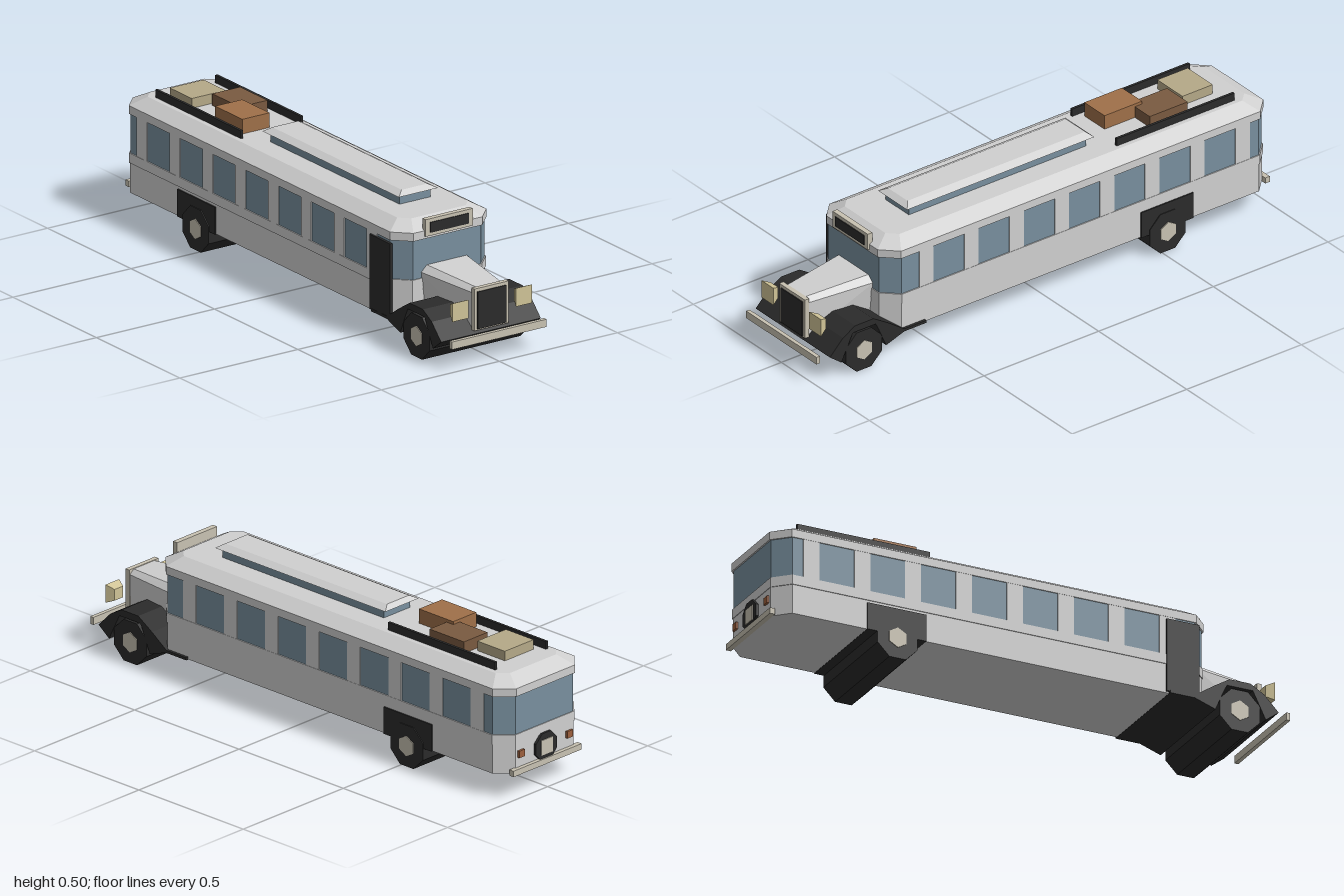
import * as THREE from 'three';
import { ConvexGeometry } from 'three/addons/geometries/ConvexGeometry.js';

const paint = (name, color) => {
  const m = new THREE.MeshStandardMaterial({ color });
  m.name = name;
  return m;
};

export function createModel() {
  const bus = new THREE.Group();
  bus.name = 'bus';

  const silver = paint('silver paint', 0xd0d0d0);
  const glass = paint('blue glass', 0x788f9e);
  const black = paint('black', 0x2b2b2b);
  const trim = paint('pale trim', 0xc8c2b2);
  const lamp = paint('lamp cream', 0xd0c497);
  const canvas = paint('canvas tan', 0xb5a988);
  const brown = paint('dark brown', 0x7a5a40);
  const leather = paint('leather orange', 0x9f7049);
  const tail = paint('tail lamp', 0x9c5f3c);

  const add = (name, geometry, material) => {
    const mesh = new THREE.Mesh(geometry, material);
    mesh.name = name;
    bus.add(mesh);
    return mesh;
  };
  // Box given by its min and max on each axis
  const box = (name, mat, x0, x1, y0, y1, z0, z1) => {
    const mesh = add(name, new THREE.BoxGeometry(x1 - x0, y1 - y0, z1 - z0), mat);
    mesh.position.set((x0 + x1) / 2, (y0 + y1) / 2, (z0 + z1) / 2);
    return mesh;
  };
  // Rectangle in plan with cut corners: half width, back, front, corner cut
  const ring = (w, z0, z1, c, y) => {
    const pts = [];
    for (const s of [-1, 1]) {
      pts.push([s * (w - c), y, z0], [s * w, y, z0 + c], [s * w, y, z1 - c], [s * (w - c), y, z1]);
    }
    return pts;
  };
  // Convex solid spanning a set of points
  const hull = (name, mat, ...rings) =>
    add(name, new ConvexGeometry(rings.flat().map((p) => new THREE.Vector3(...p))), mat);

  // Body shell, belt, glass band and roof
  hull('lowerBody', silver, ring(0.201, -0.985, 0.686, 0.056, 0.09), ring(0.201, -0.985, 0.686, 0.056, 0.235));
  hull('beltRail', silver, ring(0.204, -0.987, 0.688, 0.057, 0.2), ring(0.204, -0.987, 0.688, 0.057, 0.236));
  hull('windowBand', glass, ring(0.2, -0.984, 0.685, 0.056, 0.23), ring(0.2, -0.984, 0.685, 0.056, 0.385));
  hull('roof', silver, ring(0.204, -0.99, 0.692, 0.058, 0.38), ring(0.204, -0.99, 0.692, 0.058, 0.41),
    ring(0.15, -0.93, 0.635, 0.035, 0.442));

  // Pillars between the side windows
  for (const s of [-1, 1]) {
    for (let i = 0; i < 8; i++) {
      const z = 0.523 - i * 0.197;
      const x = s * 0.2;
      box('windowPillar', silver, x - 0.003, x + 0.003, 0.235, 0.381, z - 0.031, z + 0.031);
    }
  }
  box('door', black, -0.21, -0.2, 0.095, 0.37, 0.518, 0.643);

  // Raised roof lantern
  box('lanternGlass', glass, -0.066, 0.066, 0.44, 0.479, -0.278, 0.495);
  hull('lanternRoof', silver, ring(0.083, -0.302, 0.515, 0, 0.477), ring(0.055, -0.283, 0.492, 0, 0.492));

  // Luggage and roof rails
  for (const s of [-1, 1]) {
    box('roofRail', black, s * 0.127 - 0.005, s * 0.127 + 0.005, 0.44, 0.471, -0.875, -0.362);
  }
  box('canvasBag', canvas, -0.093, 0.05, 0.44, 0.478, -0.843, -0.711);
  box('brownTrunk', brown, -0.018, 0.1, 0.44, 0.485, -0.695, -0.53);
  box('leatherTrunk', leather, -0.1, 0.015, 0.44, 0.496, -0.562, -0.398);

  // Route sign box above the windscreen
  box('signBox', trim, -0.1, 0.1, 0.39, 0.453, 0.68, 0.7);
  box('signPanel', black, -0.082, 0.082, 0.402, 0.44, 0.699, 0.703);

  // Bonnet and grille
  const bonnetEnd = (z, top, shoulder, low, y2, y1, y0) => [-1, 1].flatMap((s) =>
    [[s * top, y2, z], [s * shoulder, y1, z], [s * low, y0, z]]);
  hull('bonnet', silver, bonnetEnd(0.68, 0.085, 0.109, 0.09, 0.28, 0.257, 0.1),
    bonnetEnd(0.945, 0.05, 0.068, 0.066, 0.264, 0.248, 0.112));
  box('grilleFrame', trim, -0.073, 0.073, 0.113, 0.267, 0.935, 0.953);
  box('grille', black, -0.061, 0.061, 0.118, 0.255, 0.95, 0.957);

  // Headlamps, tapering to the back
  for (const s of [-1, 1]) {
    const square = (h, z) => [[-h, -h], [h, -h], [h, h], [-h, h]].map(([x, y]) => [s * 0.135 + x, 0.201 + y, z]);
    hull('headlamp', lamp, square(0.034, 0.957), square(0.021, 0.926));
  }

  // Front wing arch with running board, swept across the width
  const arch = [[0.95, 0.1], [0.893, 0.158], [0.84, 0.188], [0.76, 0.188], [0.694, 0.147], [0.625, 0.099],
    [0.53, 0.099], [0.53, 0.089], [0.625, 0.089], [0.705, 0.062], [0.737, 0.137], [0.75, 0.163],
    [0.85, 0.163], [0.863, 0.137], [0.9, 0.062]];
  const wing = new THREE.Shape(arch.map(([z, y]) => new THREE.Vector2(-z, y)));
  const wingGeo = new THREE.ExtrudeGeometry(wing, { depth: 0.422, bevelEnabled: false });
  wingGeo.translate(0, 0, -0.211).rotateY(Math.PI / 2);
  add('frontWings', wingGeo, black);
  box('rearWings', black, -0.206, 0.206, 0.089, 0.19, -0.64, -0.412);

  // Axle-wide wheels with hexagonal hubs
  const drum = (sides, radius, length, turn) => {
    const g = new THREE.CylinderGeometry(radius, radius, length, sides).toNonIndexed();
    g.rotateY(turn).rotateZ(Math.PI / 2);
    g.computeVertexNormals();
    return g;
  };
  for (const z of [0.8, -0.525]) {
    add('wheels', drum(8, 0.0838, 0.418, Math.PI / 8), black).position.set(0, 0.0775, z);
    add('wheelHubs', drum(6, 0.038, 0.424, Math.PI / 2), trim).position.set(0, 0.0775, z);
  }

  // Bumpers
  box('frontBumper', trim, -0.2, 0.2, 0.085, 0.113, 0.985, 1);
  box('rearBumper', trim, -0.17, 0.17, 0.088, 0.11, -1, -0.98);

  // Spare wheel and tail lamps
  const spare = add('spareWheel', drum(8, 0.056, 0.014, Math.PI / 8), black);
  spare.rotation.y = Math.PI / 2;
  spare.position.set(0, 0.152, -0.988);
  box('spareHub', trim, -0.028, 0.028, 0.124, 0.18, -0.998, -0.99);
  for (const s of [-1, 1]) {
    box('tailLamp', tail, s * 0.12 - 0.014, s * 0.12 + 0.014, 0.146, 0.172, -0.993, -0.983);
  }

  // Stand the tyres exactly on the ground
  bus.updateMatrixWorld(true);
  const low = new THREE.Box3().setFromObject(bus).min.y;
  bus.children.forEach((part) => { part.position.y -= low; });
  return bus;
}
